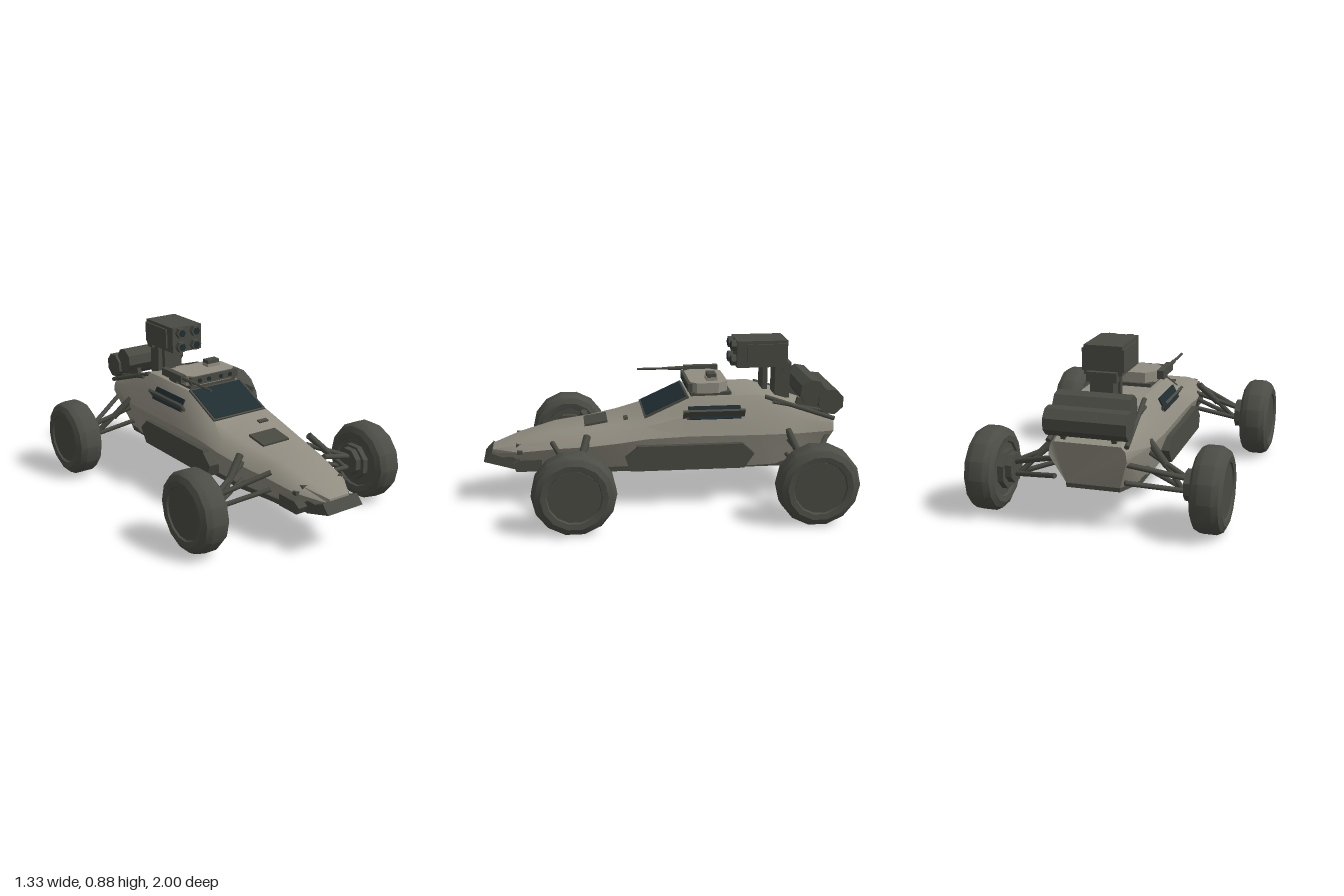
import * as THREE from 'three';
import { toCreasedNormals } from 'three/addons/utils/BufferGeometryUtils.js';

const mat = (name, color) => Object.assign(new THREE.MeshStandardMaterial({ color }), { name });

export function createModel() {
  const model = new THREE.Group();
  model.name = 'armedBuggy';
  const paint = mat('tanPaint', 0x918d81);
  const dark = mat('darkMetal', 0x484a42);
  const rubber = mat('tyreRubber', 0x4c4d46);
  const glass = mat('darkGlass', 0x1f2d31);

  const add = (name, geo, m, x = 0, y = 0, z = 0, rx = 0, ry = 0, rz = 0) => {
    const mesh = new THREE.Mesh(geo, m);
    mesh.name = name;
    mesh.position.set(x, y, z);
    mesh.rotation.set(rx, ry, rz);
    model.add(mesh);
    return mesh;
  };
  const box = (name, m, w, h, d, x, y, z, rx = 0, ry = 0, rz = 0) =>
    add(name, new THREE.BoxGeometry(w, h, d), m, x, y, z, rx, ry, rz);
  const prism = (r, len, sides) => toCreasedNormals(new THREE.CylinderGeometry(r, r, len, sides), 0.5);
  // Round bar between two points
  const strut = (name, a, b, r, m = dark) => {
    const p = new THREE.Vector3(...a), q = new THREE.Vector3(...b);
    const mesh = add(name, new THREE.CylinderGeometry(r, r, p.distanceTo(q), 8), m);
    mesh.position.copy(p).add(q).multiplyScalar(0.5);
    mesh.quaternion.setFromUnitVectors(new THREE.Vector3(0, 1, 0), q.sub(p).normalize());
  };
  // Side profile of [z, y] points, extruded across x and centred on x
  const sideProfile = (name, m, pts, width, x = 0) => {
    const shape = new THREE.Shape(pts.map(([z, y]) => new THREE.Vector2(-z, y)));
    const geo = new THREE.ExtrudeGeometry(shape, { depth: width, bevelEnabled: false });
    geo.translate(0, 0, -width / 2).rotateY(Math.PI / 2);
    return add(name, geo, m, x);
  };
  // Skin over rings that run back to front, each counterclockwise from the front
  const loft = (rings) => {
    const pos = [], n = rings[0].length;
    const tri = (...p) => p.forEach((v) => pos.push(...v));
    for (let i = 0; i < rings.length - 1; i++)
      for (let j = 0; j < n; j++) {
        const k = (j + 1) % n, A = rings[i], B = rings[i + 1];
        tri(A[j], A[k], B[k]);
        tri(A[j], B[k], B[j]);
      }
    const back = rings[0], front = rings[rings.length - 1];
    for (let j = 1; j < n - 1; j++) {
      tri(front[0], front[j], front[j + 1]);
      tri(back[0], back[j + 1], back[j]);
    }
    const geo = new THREE.BufferGeometry();
    geo.setAttribute('position', new THREE.Float32BufferAttribute(pos, 3));
    return toCreasedNormals(geo, 0.55);
  };

  // Hull sections: z, bottom half width and y, middle, top, optional bottom z
  const sections = [
    [-0.95, 0.14, 0.22, 0.20, 0.39, 0.17, 0.46, -0.87],
    [-0.72, 0.20, 0.21, 0.25, 0.395, 0.17, 0.545],
    [-0.52, 0.22, 0.21, 0.268, 0.40, 0.175, 0.605],
    [-0.13, 0.22, 0.21, 0.27, 0.405, 0.175, 0.60],
    [0.11, 0.21, 0.21, 0.265, 0.395, 0.175, 0.49],
    [0.25, 0.20, 0.21, 0.26, 0.375, 0.16, 0.455],
    [0.40, 0.19, 0.21, 0.24, 0.355, 0.14, 0.43],
    [0.60, 0.15, 0.21, 0.20, 0.335, 0.11, 0.41],
    [0.80, 0.10, 0.22, 0.165, 0.31, 0.08, 0.36],
    [0.95, 0.04, 0.25, 0.065, 0.28, 0.045, 0.305],
  ];
  add('hull', loft(sections.map(([z, wb, yb, wm, ym, wt, yt, zb = z]) => {
    const ws = (wm + wt) / 2 + 0.008, ys = (ym + yt) / 2 + 0.01;
    const half = [[wb, yb, zb], [wm, ym, z], [ws, ys, z], [wt, yt, z]];
    return [...half, ...half.map(([x, y, d]) => [-x, y, d]).reverse()];
  })), paint);

  // Belly plate and nose skid
  const belly = [[-0.87, 0.14], [-0.7, 0.21], [0.35, 0.21], [0.6, 0.17], [0.8, 0.15]];
  add('bellyPlate', loft(belly.map(([z, w]) =>
    [[w, 0.198, z], [w, 0.225, z], [-w, 0.225, z], [-w, 0.198, z]])), dark);
  sideProfile('noseSkid', dark,
    [[1, 0.247], [0.955, 0.295], [0.9, 0.27], [0.72, 0.27], [0.74, 0.21], [0.84, 0.2]], 0.23);
  sideProfile('noseBumper', dark, [[0.84, 0.24], [0.8, 0.265], [0.68, 0.265], [0.68, 0.2], [0.82, 0.2]], 0.34);

  // Windscreen
  const slope = Math.atan(0.11 / 0.24);
  box('windscreenFrame', dark, 0.355, 0.012, 0.268, 0, 0.547, -0.01, slope);
  box('windscreen', glass, 0.33, 0.008, 0.245, 0, 0.552, -0.008, slope);

  // Hood fittings
  box('hoodHatch', dark, 0.175, 0.012, 0.13, 0, 0.441, 0.375, 0.16);
  box('hoodLatch', dark, 0.06, 0.012, 0.025, 0.085, 0.468, 0.21, 0.2);

  for (const s of [1, -1]) {
    const side = s > 0 ? 'left' : 'right';
    box(side + 'NoseLamp', dark, 0.035, 0.015, 0.03, s * 0.115, 0.338, 0.805);
    box(side + 'NoseHook', dark, 0.02, 0.02, 0.03, s * 0.16, 0.31, 0.8);

    // Side storage skirt
    sideProfile(side + 'Skirt', dark, [[0.225, 0.29], [0.165, 0.345], [0.16, 0.36], [-0.42, 0.36],
      [-0.485, 0.3], [-0.43, 0.22], [0.2, 0.22]], 0.085, s * 0.245);

    // Side window behind a slanted shutter
    box(side + 'SideWindow', glass, 0.008, 0.075, 0.29, s * 0.228, 0.525, -0.27, 0, 0, s * 0.5);
    box(side + 'Shutter', dark, 0.014, 0.066, 0.34, s * 0.24, 0.518, -0.265, 0, 0, -s * 0.6);
    box(side + 'ShutterShelf', dark, 0.04, 0.012, 0.3, s * 0.222, 0.497, -0.265);

    // Rear deck rail
    strut(side + 'DeckRail', [s * 0.175, 0.592, -0.56], [s * 0.2, 0.462, -0.95], 0.013);
    strut(side + 'DeckBrace', [s * 0.19, 0.565, -0.6], [s * 0.17, 0.5, -0.9], 0.01);

    // Wheels and suspension arms
    for (const [end, z, zIn, zOut] of [['front', 0.515, 0.43, 0.62], ['rear', -0.765, -0.68, -0.92]]) {
      const tyre = [[0, -0.066], [0.14, -0.066], [0.145, -0.078], [0.175, -0.082], [0.205, -0.066],
        [0.221, -0.035], [0.221, 0.035], [0.205, 0.066], [0.175, 0.082], [0.145, 0.078],
        [0.14, 0.066], [0, 0.066]].map(([r, y]) => new THREE.Vector2(r, y));
      const name = end + side[0].toUpperCase() + side.slice(1);
      add(name + 'Wheel', toCreasedNormals(new THREE.LatheGeometry(tyre, 14), 0.6), rubber,
        s * 0.583, 0.221, z, 0, 0, Math.PI / 2);
      add(name + 'WheelDisc', prism(0.138, 0.006, 14), dark, s * 0.65, 0.221, z, 0, 0, Math.PI / 2);
      add(name + 'BrakeDrum', prism(0.105, 0.04, 8), dark, s * 0.505, 0.225, z, Math.PI / 8, 0, Math.PI / 2);
      add(name + 'Hub', prism(0.08, 0.05, 8), dark, s * 0.475, 0.235, z, Math.PI / 8, 0, Math.PI / 2);
      for (const zArm of [zIn, zOut]) {
        const x = Math.abs(zArm - z) > 0.12 || zArm > 0.6 ? 0.18 : 0.22;
        strut(name + 'UpperArm', [s * 0.46, 0.265, z], [s * x, 0.365, zArm], 0.014);
        strut(name + 'LowerArm', [s * 0.46, 0.2, z], [s * x, 0.27, zArm], 0.013);
      }
      strut(name + 'Shock', [s * 0.43, 0.21, z], [s * 0.235, 0.415, zIn], 0.014);
      strut(name + 'ShockSleeve', [s * 0.34, 0.305, (z + zIn) / 2], [s * 0.235, 0.415, zIn], 0.02);
    }
  }

  // Roof cupola: octagonal block with hatch and lamp bar
  const oct = new THREE.Shape([[-0.165, 0.18], [-0.13, 0.145], [0.13, 0.145], [0.165, 0.18],
    [0.165, 0.3], [0.12, 0.355], [-0.12, 0.355], [-0.165, 0.3]].map((p) => new THREE.Vector2(...p)));
  const octGeo = new THREE.ExtrudeGeometry(oct, { depth: 0.058, bevelEnabled: false }).rotateX(-Math.PI / 2);
  add('cupola', octGeo, paint, 0, 0.617, 0);
  box('cupolaBase', dark, 0.31, 0.025, 0.225, 0, 0.608, -0.26);
  box('roofHatch', paint, 0.085, 0.02, 0.06, 0.073, 0.682, -0.27);
  box('hatchSight', dark, 0.08, 0.022, 0.05, 0.073, 0.702, -0.27);
  box('lampBar', dark, 0.32, 0.045, 0.025, 0, 0.65, -0.142);
  for (const x of [-0.105, -0.042, 0.042, 0.105])
    add('roofLamp', prism(0.013, 0.008, 8), glass, x, 0.65, -0.128, Math.PI / 2);

  // Roof gun on the right side
  box('gunBody', dark, 0.035, 0.042, 0.2, -0.2, 0.67, -0.25);
  box('gunMount', dark, 0.05, 0.025, 0.06, -0.18, 0.64, -0.25);
  strut('gunBarrel', [-0.2, 0.675, -0.16], [-0.2, 0.675, 0.12], 0.007);
  strut('gunSleeve', [-0.2, 0.675, -0.16], [-0.2, 0.675, -0.06], 0.011);

  // Launcher pod with four hexagonal tubes
  box('launcherPod', dark, 0.2, 0.15, 0.285, 0, 0.815, -0.555);
  for (const s of [1, -1]) {
    box('podSidePanel', dark, 0.01, 0.115, 0.225, s * 0.105, 0.815, -0.582);
    for (const y of [0.775, 0.858]) {
      add('launchTube', prism(0.033, 0.04, 6), dark, s * 0.05, y, -0.405, Math.PI / 2, Math.PI / 6);
      add('launchTubeMouth', prism(0.022, 0.006, 6), glass, s * 0.05, y, -0.384, Math.PI / 2, Math.PI / 6);
    }
  }
  box('launcherPost', dark, 0.12, 0.19, 0.085, 0, 0.645, -0.68);
  box('launcherBrace', dark, 0.12, 0.13, 0.028, 0, 0.67, -0.58);
  box('launcherHinge', dark, 0.16, 0.05, 0.05, 0, 0.735, -0.7);

  // Rear storage drums lying across the deck
  add('upperDrum', prism(0.074, 0.39, 8), dark, 0, 0.612, -0.825, 0.2, 0, Math.PI / 2);
  add('lowerDrum', prism(0.074, 0.42, 8), dark, 0, 0.56, -0.926, 0.35, 0, Math.PI / 2);
  for (const s of [1, -1])
    box('drumCradle', dark, 0.025, 0.06, 0.2, s * 0.13, 0.515, -0.84, -0.3);

  return model;
}
